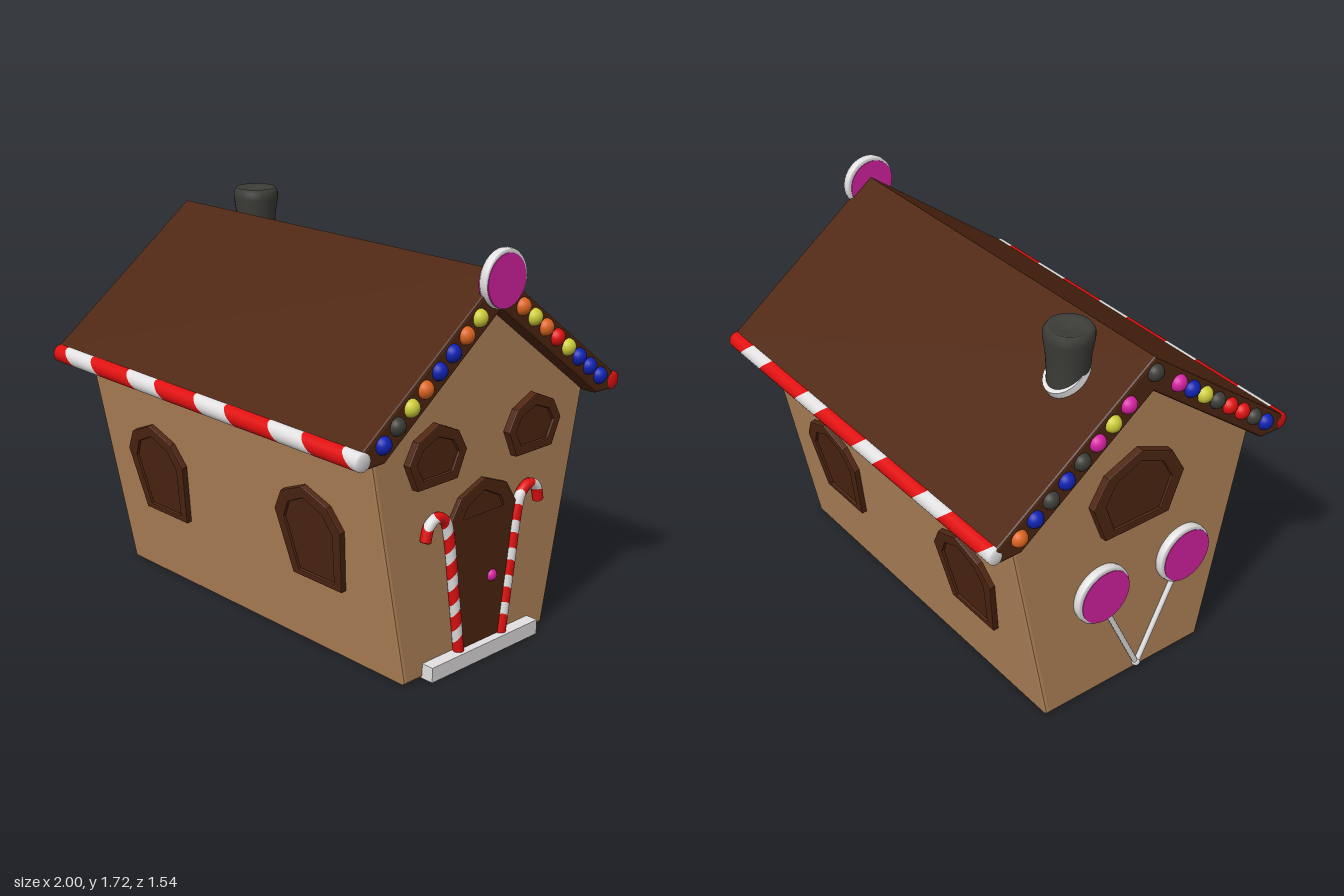
import * as THREE from 'three';

const mat = (name, color) => {
  const m = new THREE.MeshStandardMaterial({ color });
  m.name = name;
  return m;
};
const M = {
  gingerbread: mat('gingerbread', 0xb4865a),
  chocolate: mat('chocolate', 0x4f2611),
  red: mat('candy red', 0xe01010),
  white: mat('sugar white', 0xe2e0e0),
  pink: mat('candy pink', 0xd622a4),
  gray: mat('liquorice gray', 0x3c3d38),
  yellow: mat('candy yellow', 0xcccc38),
  blue: mat('candy blue', 0x0f22b4),
  orange: mat('candy orange', 0xdc6420),
};

function add(parent, name, geometry, material, x = 0, y = 0, z = 0) {
  const mesh = new THREE.Mesh(geometry, material);
  mesh.name = name;
  mesh.position.set(x, y, z);
  parent.add(mesh);
  return mesh;
}

function group(parent, name) {
  const g = new THREE.Group();
  g.name = name;
  parent.add(g);
  return g;
}

const toPoints = (list) => list.map(([x, y]) => new THREE.Vector2(x, y));

// Bevelled slab from a shape; bevel stays inside the outline and the depth
function slab(shape, depth, bevel) {
  return new THREE.ExtrudeGeometry(shape, {
    depth: depth - 2 * bevel, bevelEnabled: true, bevelSegments: 2,
    bevelSize: bevel, bevelOffset: -bevel, bevelThickness: bevel,
  }).translate(0, 0, bevel);
}

// Slab running along x, centred on x = 0, from a symmetric (z, y) profile
function lengthwise(points, length, bevel) {
  return slab(new THREE.Shape(toPoints(points)), length, bevel)
    .translate(0, 0, -length / 2).rotateY(Math.PI / 2);
}

// Pointed arch frame around a recessed panel, standing on its local origin
function archPanel(parent, name, { bottom, top, shoulder, height, lift, out }) {
  const rise = height - shoulder;
  const outline = [[-bottom, 0], [bottom, 0], [top, shoulder], [top * 0.7, shoulder + rise * 0.63],
    [0, height], [-top * 0.7, shoulder + rise * 0.63], [-top, shoulder]];
  const sy = (height - lift - 0.052) / height;
  const inner = outline.map(([x, y]) => [x * 0.73, y * sy + lift]);
  const g = group(parent, name);
  const frame = new THREE.Shape(toPoints(outline));
  frame.holes.push(new THREE.Path(toPoints(inner)));
  add(g, 'frame', slab(frame, out + 0.01, 0.005), M.chocolate, 0, 0, -0.01);
  add(g, 'panel', slab(new THREE.Shape(toPoints(inner)), out, 0.004), M.chocolate, 0, 0, -0.01);
  return g;
}

// Tube in red and white bands, each band edge tilted across the tube.
// bounds: band edges from 0 to 1; side: a direction square to the curve
function candyTube(parent, name, curve, radius, bounds, firstRed, side, tilt, phase, steps) {
  const g = group(parent, name), N = 20;
  for (let k = 0; k + 1 < bounds.length; k++) {
    const pos = [], index = [];
    for (let i = 0; i <= steps; i++) {
      for (let j = 0; j < N; j++) {
        const a = (j / N) * Math.PI * 2;
        const base = bounds[k] + (bounds[k + 1] - bounds[k]) * (i / steps);
        const edge = base === 0 || base === 1;
        const u = edge ? base : THREE.MathUtils.clamp(base + tilt * Math.cos(a - phase), 0, 1);
        const n = curve.getTangentAt(u).cross(side).normalize();
        const p = curve.getPointAt(u).addScaledVector(n, radius * Math.cos(a))
          .addScaledVector(side, radius * Math.sin(a));
        pos.push(p.x, p.y, p.z);
        if (i < steps) {
          const b = i * N + ((j + 1) % N), c = i * N + j;
          index.push(c, c + N, b, b, c + N, b + N);
        }
      }
    }
    const geo = new THREE.BufferGeometry();
    geo.setAttribute('position', new THREE.Float32BufferAttribute(pos, 3));
    geo.setIndex(index);
    geo.computeVertexNormals();
    add(g, 'band', geo, (k % 2 === 0) === firstRed ? M.red : M.white);
  }
  // Rounded ends
  [0, 1].forEach((u) => {
    const p = curve.getPointAt(u), t = curve.getTangentAt(u);
    const isRed = u === 0 ? firstRed : (bounds.length % 2 === 0) === firstRed;
    const cap = add(g, 'end', new THREE.SphereGeometry(radius, 20, 12).scale(1, 1, 0.3),
      isRed ? M.red : M.white, p.x, p.y, p.z);
    cap.lookAt(p.clone().add(t));
  });
  return g;
}

// Round sweet with a white rim and pink faces towards +x and -x
function lollipop(parent, name, radius, x, y, z) {
  const g = group(parent, name);
  const h = 0.022, r = radius;
  const rim = [[0, -h], [r * 0.93, -h], [r * 0.98, -h * 0.7], [r, 0], [r * 0.98, h * 0.7], [r * 0.93, h], [0, h]];
  add(g, 'rim', new THREE.LatheGeometry(toPoints(rim), 40).rotateZ(Math.PI / 2), M.white);
  add(g, 'faces', new THREE.CylinderGeometry(r * 0.9, r * 0.9, 2 * h + 0.006, 40).rotateZ(Math.PI / 2),
    M.pink, 0, -0.005, 0.005);
  g.position.set(x, y, z);
  return g;
}

export function createModel() {
  const model = new THREE.Group();
  model.name = 'gingerbreadHouse';
  const X = new THREE.Vector3(1, 0, 0), Y = new THREE.Vector3(0, 1, 0);

  // Walls and roof
  add(model, 'walls', lengthwise([[-0.42, 0.005], [0.42, 0.005], [0.622, 1.03], [0, 1.5], [-0.622, 1.03]], 1.78, 0.014), M.gingerbread);
  add(model, 'roof', lengthwise([[0, 1.632], [-0.74, 1.075], [-0.72, 1.01], [-0.62, 1.012], [0, 1.482],
    [0.62, 1.012], [0.72, 1.01], [0.74, 1.075]], 1.93, 0.01), M.chocolate);

  // Striped candy along both eaves
  [[1, [0, 0.055, 0.155, 0.29, 0.39, 0.525, 0.625, 0.76, 0.86, 0.975, 1], true],
    [-1, [0, 0.03, 0.165, 0.25, 0.395, 0.475, 0.625, 0.705, 0.86, 0.945, 1], false]].forEach(([s, bounds, firstRed]) => {
    const z = 0.73 * s;
    const line = new THREE.LineCurve3(new THREE.Vector3(-0.955, 1.045, z), new THREE.Vector3(0.96, 1.045, z));
    candyTube(model, 'eaveCandy', line, 0.039, bounds, firstRed, Y, 0.022, -Math.PI / 2, 1);
  });

  // Sweets along both gables, listed from +z to -z
  const sweets = {
    '-1': 'blue gray red red gray yellow blue pink gray pink yellow pink gray blue gray blue orange',
    1: 'blue gray yellow orange blue blue orange yellow - orange yellow orange red yellow blue blue blue',
  };
  const ball = new THREE.SphereGeometry(0.037, 20, 14);
  for (const s of [-1, 1]) {
    const row = group(model, 'gableSweets');
    sweets[s].split(' ').forEach((c, i) => {
      const k = 8 - i;
      const z = k === 0 ? 0 : Math.sign(k) * (0.052 + 0.0725 * Math.abs(k));
      if (c !== '-') add(row, 'sweet', ball, M[c], 0.962 * s, 1.567 - 0.758 * Math.abs(z), z);
    });
  }

  // Side windows, leaning with the walls
  for (const turn of [0, Math.PI]) {
    const side = group(model, 'sideWindows');
    side.rotation.y = turn;
    for (const x of [-0.493, 0.493]) {
      const w = archPanel(side, 'sideWindow', { bottom: 0.143, top: 0.193, shoulder: 0.29, height: 0.445, lift: 0.028, out: 0.026 });
      w.position.set(x - 0.0125 * Math.cos(turn), 0.35, 0.488);
      w.rotation.x = Math.atan(0.197);
    }
  }

  // Door end
  const doorEnd = group(model, 'doorEnd');
  doorEnd.rotation.y = Math.PI / 2;
  for (const s of [-1, 1]) {
    archPanel(doorEnd, 'gableWindow', { bottom: 0.11, top: 0.16, shoulder: 0.112, height: 0.247, lift: 0.037, out: 0.033 })
      .position.set(s * 0.285, 0.83, 0.89);
  }
  archPanel(doorEnd, 'door', { bottom: 0.138, top: 0.194, shoulder: 0.57, height: 0.715, lift: 0, out: 0.022 })
    .position.set(0, 0.068, 0.89);
  add(model, 'doorstep', new THREE.BoxGeometry(0.075, 0.065, 0.64), M.white, 0.908, 0.036, 0);
  add(model, 'doorknob', new THREE.SphereGeometry(0.027, 20, 14), M.pink, 0.905, 0.345, -0.058);

  // Candy canes beside the door
  const canePath = [[0.065, 0.128], [0.35, 0.168], [0.6, 0.205], [0.66, 0.226], [0.688, 0.272], [0.665, 0.318], [0.605, 0.337]];
  const caneBounds = Array.from({ length: 14 }, (_, i) => (i + (i % 2 ? 0.12 : 0)) / 13.12);
  caneBounds[13] = 1;
  for (const s of [-1, 1]) {
    const curve = new THREE.CatmullRomCurve3(canePath.map(([y, z]) => new THREE.Vector3(0.909, y, z * s)));
    candyTube(model, 'candyCane', curve, 0.023, caneBounds, true, X, 0.027 * s, Math.PI / 4 * s, 5);
  }

  // Lollipop on the ridge
  lollipop(model, 'ridgeLollipop', 0.12, 0.968, 1.605, 0);

  // Far end: one window and two crossed lollipops
  const farEnd = group(model, 'farEnd');
  farEnd.rotation.y = -Math.PI / 2;
  archPanel(farEnd, 'farWindow', { bottom: 0.165, top: 0.235, shoulder: 0.18, height: 0.37, lift: 0.035, out: 0.033 })
    .position.set(0, 0.82, 0.89);
  for (const s of [-1, 1]) {
    const z = 0.06 + 0.22 * s;
    lollipop(model, 'wallLollipop', 0.137, -0.905, 0.54, z);
    const foot = new THREE.Vector3(-0.9, 0.04, 0.06), head = new THREE.Vector3(-0.9, 0.5, z);
    add(model, 'lollipopStick', new THREE.TubeGeometry(new THREE.LineCurve3(foot, head), 1, 0.012, 10), M.white);
  }
  add(model, 'stickFoot', new THREE.SphereGeometry(0.02, 14, 10), M.white, -0.898, 0.045, 0.06);

  // Flared chimney with an icing collar lying on the roof
  const flue = [[0.084, 1.36], [0.084, 1.5], [0.09, 1.59], [0.101, 1.66], [0.1, 1.69], [0.088, 1.708], [0.07, 1.7], [0, 1.688]];
  add(model, 'chimney', new THREE.LatheGeometry(toPoints(flue), 28), M.gray, -0.69, 0, -0.19);
  const collar = add(model, 'chimneyIcing', new THREE.CylinderGeometry(0.088, 0.094, 0.06, 28).scale(1, 1, 1.15),
    M.white, -0.69, 1.49, -0.19);
  collar.rotation.x = -Math.atan(0.755);

  return model;
}
